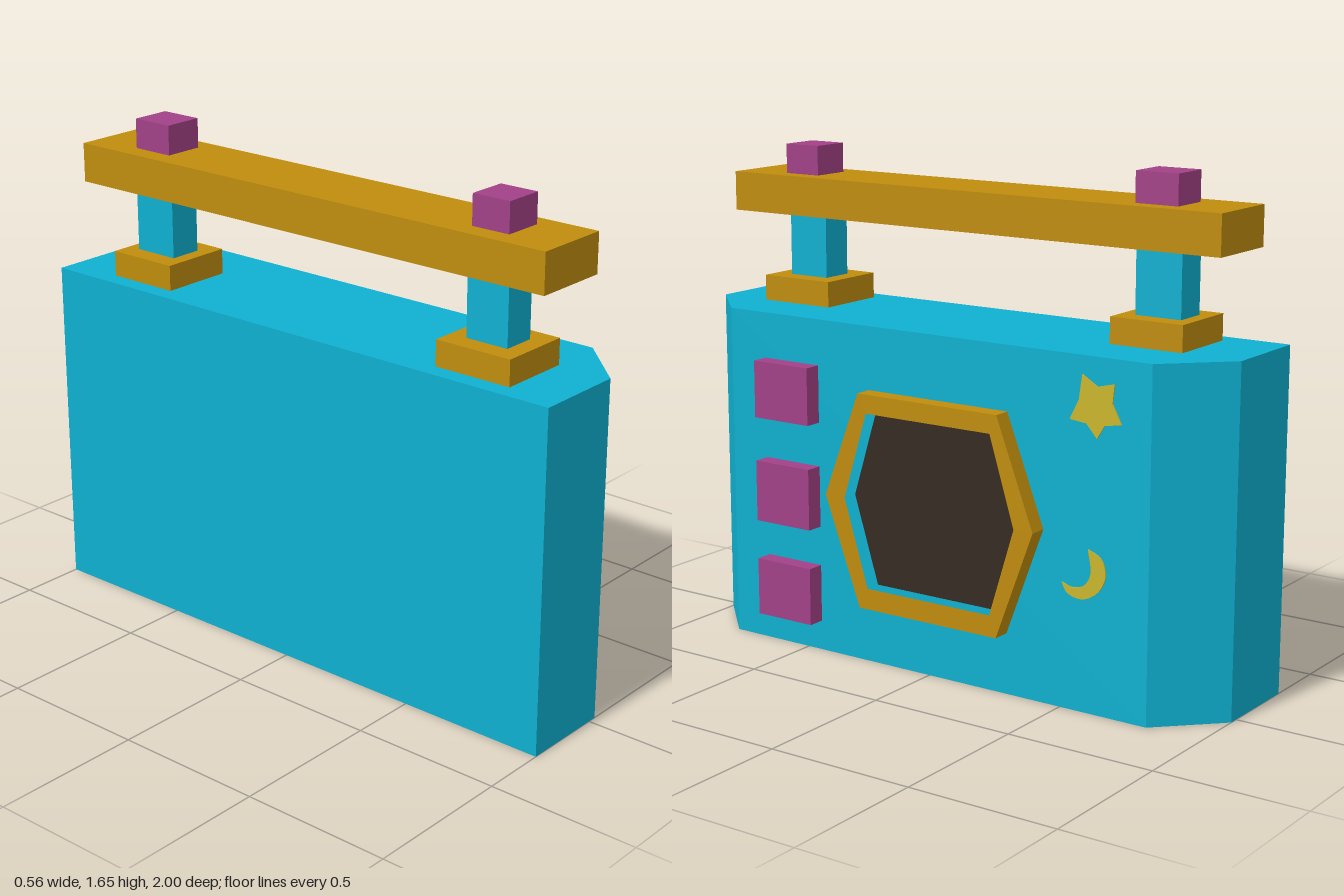
import * as THREE from 'three';

const paint = (name, color) => {
  const m = new THREE.MeshStandardMaterial({ color });
  m.name = name;
  return m;
};

export function createModel() {
  const group = new THREE.Group();
  const teal = paint('teal', 0x0fb0d0);
  const ochre = paint('ochre', 0xbf8c0d);
  const purple = paint('purple', 0xa24187);
  const dark = paint('dark brown', 0x352b22);
  const yellow = paint('yellow', 0xcbb62d);

  const add = (name, geometry, material) => {
    const mesh = new THREE.Mesh(geometry, material);
    mesh.name = name;
    group.add(mesh);
    return mesh;
  };
  // Box given by its extents on each axis
  const box = (name, material, [x0, x1], [y0, y1], [z0, z1]) =>
    add(name, new THREE.BoxGeometry(x1 - x0, y1 - y0, z1 - z0), material)
      .position.set((x0 + x1) / 2, (y0 + y1) / 2, (z0 + z1) / 2);
  // Outline of [z, y] points, for parts on the +x face
  const outline = (pts) => new THREE.Shape(pts.map(([z, y]) => new THREE.Vector2(-z, y)));
  const sidePart = (name, material, shape, x, depth) =>
    add(name, new THREE.ExtrudeGeometry(shape, { depth, bevelEnabled: false, curveSegments: 10 })
      .rotateY(Math.PI / 2).translate(x, 0, 0), material);

  // Case with two chamfered upright edges
  const plan = [[-0.28, -1], [0.03, -1], [0.217, -0.81], [0.217, 0.81], [0.03, 1], [-0.28, 1]];
  add('case', new THREE.ExtrudeGeometry(
    new THREE.Shape(plan.map(([x, z]) => new THREE.Vector2(x, z))),
    { depth: 1.12, bevelEnabled: false }).rotateX(-Math.PI / 2), teal);

  // Handle: bar on two posts with feet and top knobs
  box('handleBar', ochre, [-0.22, 0.043], [1.42, 1.55], [-0.93, 0.93]);
  for (const [foot, post, knob] of [
    [[0.55, 0.82], [0.61, 0.76], [0.622, 0.755]],
    [[-0.80, -0.546], [-0.755, -0.595], [-0.75, -0.602]],
  ]) {
    box('handleFoot', ochre, [-0.22, 0.027], [1.12, 1.205], foot);
    box('handlePost', teal, [-0.152, -0.04], [1.2, 1.42], post);
    box('handleKnob', purple, [-0.152, -0.017], [1.55, 1.648], knob);
  }

  // Three push buttons
  for (const y of [[0.10, 0.293], [0.425, 0.63], [0.777, 0.968]])
    box('button', purple, [0.217, 0.276], y, [0.443, 0.665]);

  // Hexagonal frame around a recessed screen
  const hexagon = (zl, zr, inset, y0, y1) => [
    [zl, 0.56], [zl - inset, y1], [zr + inset, y1],
    [zr, 0.56], [zr + inset, y0], [zl - inset, y0]];
  const inner = hexagon(0.292, -0.365, 0.09, 0.27, 0.85);
  const frame = outline(hexagon(0.37, -0.435, 0.135, 0.2, 0.912));
  frame.holes.push(outline(inner));
  sidePart('screenFrame', ochre, frame, 0.217, 0.06);
  sidePart('screen', dark, outline(inner), 0.217, 0.005);

  // Star and crescent plates
  sidePart('star', yellow, outline([
    [-0.571, 1.062], [-0.625, 1.03], [-0.684, 1.045], [-0.678, 0.984], [-0.71, 0.925],
    [-0.651, 0.914], [-0.625, 0.871], [-0.587, 0.914], [-0.528, 0.92], [-0.56, 0.984],
  ]), 0.217, 0.004);
  const moon = new THREE.Shape();
  moon.moveTo(0.598, 0.525);
  moon.splineThru([[0.646, 0.501], [0.662, 0.448], [0.635, 0.394], [0.582, 0.364], [0.528, 0.373],
    [0.505, 0.407]].map((p) => new THREE.Vector2(...p)));
  moon.splineThru([[0.544, 0.396], [0.587, 0.41], [0.609, 0.453], [0.598, 0.525]]
    .map((p) => new THREE.Vector2(...p)));
  sidePart('moon', yellow, moon, 0.217, 0.004);

  return group;
}
